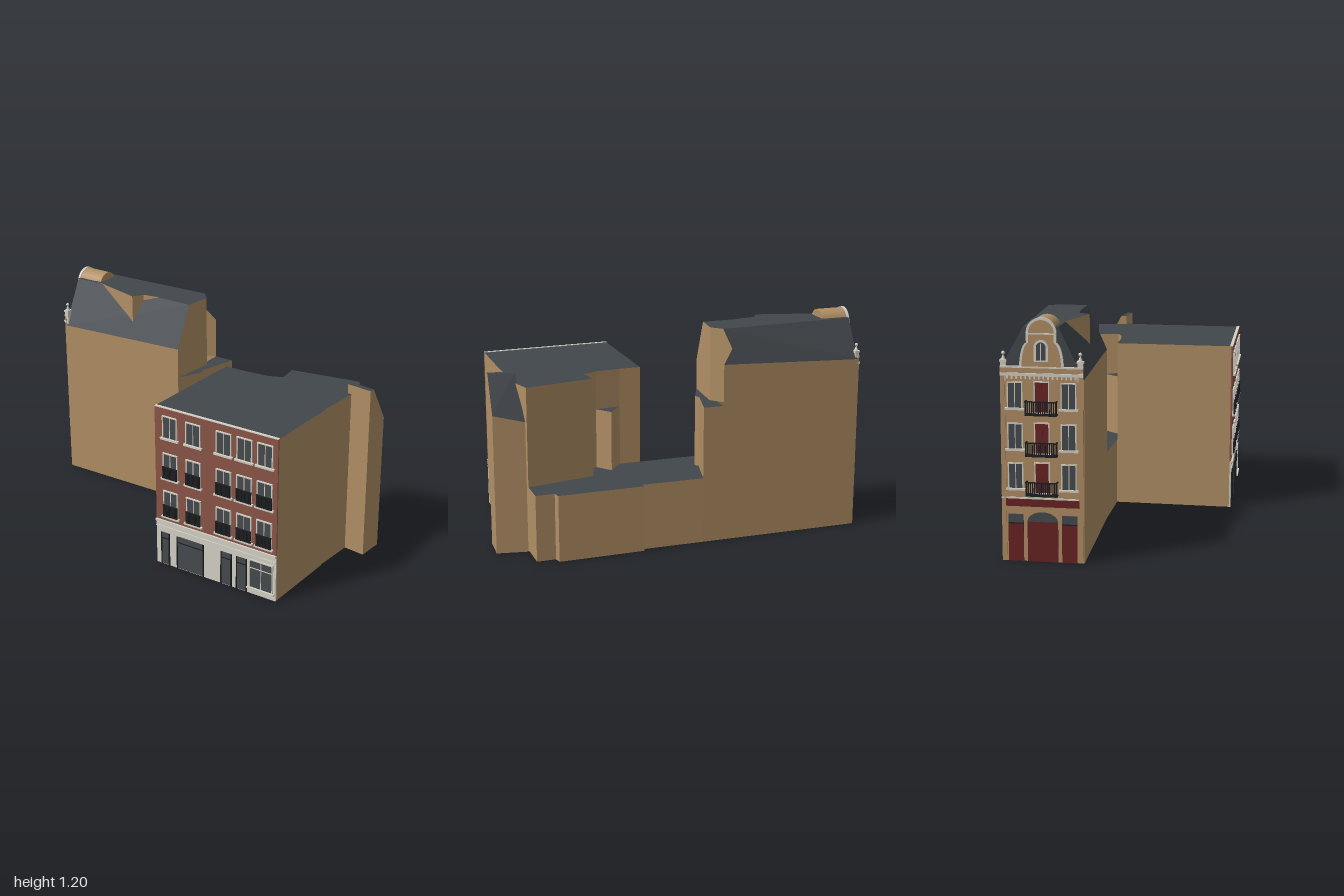
import * as THREE from 'three';

const mat = (name, color, side = THREE.FrontSide) => {
  const m = new THREE.MeshStandardMaterial({ color, side });
  m.name = name;
  return m;
};

export function createModel() {
  const wall = mat('tan wall', 0xb18f65, THREE.DoubleSide);
  const slate = mat('slate roof', 0x42474c, THREE.DoubleSide);
  const brick = mat('brick', 0x8a5546);
  const stone = mat('pale stone', 0xd5d2c6);
  const glass = mat('dark glass', 0x464b4f);
  const iron = mat('black iron', 0x1d1e20);
  const red = mat('dark red paint', 0x6a2323);
  const model = new THREE.Group();

  const add = (parent, geo, m, name, x = 0, y = 0, z = 0) => {
    const mesh = new THREE.Mesh(geo, m);
    mesh.name = name;
    mesh.position.set(x, y, z);
    parent.add(mesh);
    return mesh;
  };

  // Walls and roof between two counter-clockwise rings of [x, y, z], open below.
  // sides: 0 wall, 1 slate, -1 left open
  function solid(name, low, high, sides = [], roofed = true) {
    const mats = [wall, slate], pos = [[], []];
    const tri = (k, ...pts) => pts.forEach(p => pos[k].push(...p));
    low.forEach((a, i) => {
      const j = (i + 1) % low.length, k = sides[i] || 0;
      if (k < 0) return;
      tri(k, a, low[j], high[j]);
      tri(k, a, high[j], high[i]);
    });
    const outline = high.map(p => new THREE.Vector2(p[0], -p[2]));
    if (roofed)
      THREE.ShapeUtils.triangulateShape(outline, []).forEach(([a, b, c]) => tri(1, high[a], high[b], high[c]));
    pos.forEach((list, k) => {
      if (!list.length) return;
      const g = new THREE.BufferGeometry();
      g.setAttribute('position', new THREE.Float32BufferAttribute(list, 3));
      g.computeVertexNormals();
      add(model, g, mats[k], name + (k ? 'Roof' : 'Walls'));
    });
  }
  const at = (plan, y) => plan.map(([x, z], i) => [x, Array.isArray(y) ? y[i] : y, z]);
  const prism = (name, plan, y0, y1, sides, roofed) => solid(name, at(plan, y0), at(plan, y1), sides, roofed);

  // Front house: its stepped back stands on the low link
  const L = 0.362, M = 0.752;
  const back = [[0.03, 0.05], [0.115, 0.13], [0.225, 0.215], [0.3, 0.245], [0.365, 0.155], [0.683, 0.365]];
  prism('frontHouse', [[-0.405, 0.5], [0.135, 0.988], [0.43, 0.685], [0.44, 0.67], [0.6, 0.52], back[5],
    ...[...back].reverse(), back[0]], [0, 0, 0, 0, 0, 0, L, L, L, L, L, L, 0], 0.9, [-1, 0, 0, 0, 0, -1, 0, 0, 0, 0, 0, -1, 0]);
  prism('stairNook', [[0.115, 0.13], [0.225, 0.215], [0.235, 0.115]], L, 0.69, [-1]);

  // Side lean-to, low link and stair block
  prism('leanToTop', [[0.587, 0.5], [0.678, 0.608], [0.7, 0.587], [0.608, 0.478]], 0, 0.95, [0, 0, -1, 0]);
  prism('leanTo', [[0.608, 0.478], [0.7, 0.587], [0.782, 0.51], [0.683, 0.375]], 0, [0.95, 0.95, 0.755, 0.715], [-1]);
  prism('lowLink', [[-0.205, -0.178], ...back, [0.783, 0.26], [0.708, 0.19], [0.73, 0.155], [0.39, -0.165],
    [0.375, -0.145], [0.13, -0.383], [0.05, -0.46]], 0, L, [0, -1, -1, -1, -1, -1, 0, 0, 0, 0, 0, 0, 0, -1]);
  prism('stairBlock', [[-0.205, -0.178], [-0.06, -0.24], [-0.05, -0.27], [0.13, -0.383], [0.05, -0.46]], L, M,
    [0, 0, 0, 0, -1]);

  // Rear house with a mansard whose courtyard end is a notched wall
  const A = [-0.785, -0.7], B = [-0.205, -0.178], C = [-0.02, -0.345], D = [-0.016, -0.475], E = [0.05, -0.46],
    G = [-0.507, -0.997];
  prism('rearHouse', [A, B, B, C, D, E, E, G], [0, 0, M, M, M, M, 0, 0],
    [0.9, 0.92, 0.92, 0.92, 1.05, 0.975, 0.975, 0.945], [0, -1, 0, 0, 0, -1, 0, 0], false);
  const eaves = at([A, B, C, D, G], [0.9, 0.92, 0.92, 1.05, 0.945]);
  const top = at([[-0.7, -0.788], [-0.13, -0.25], [-0.02, -0.345], [-0.018, -0.42], [-0.585, -0.91]], 1.15);
  solid('mansard', eaves, top, [1, 0, 0, -1, 1]);
  const slope = [top[3], eaves[3], [E[0], 0.975, E[1]], eaves[4], top[4]];
  solid('northSlope', slope, slope, [-1, -1, -1, -1, -1]);
  prism('roofBump', [[-0.61, -0.73], [-0.425, -0.43], [-0.36, -0.447], [-0.28, -0.392], [-0.36, -0.6]], 0.96, 1.152,
    [0, 0, 0, -1, -1]);

  // A facade group: x runs to the viewer's right, z points outwards
  function facade(name, [lx, lz], [rx, rz]) {
    const g = new THREE.Group();
    g.name = name;
    g.position.set((lx + rx) / 2, 0, (lz + rz) / 2);
    g.rotation.y = Math.atan2(lz - rz, rx - lx);
    model.add(g);
    return g;
  }
  // Box resting on height y, starting at depth z
  const box = (p, m, name, x, y, w, h, d, z = 0) =>
    add(p, new THREE.BoxGeometry(w, h, d), m, name, x, y + h / 2, z + d / 2);

  // Panes pass through the wall so they also show from inside
  function windowUnit(p, x, y, w, h, pane = glass, bar = stone) {
    const t = 0.006, z = 0.008;
    box(p, pane, 'pane', x, y, w, h, 0.012, -0.001);
    for (const s of [-1, 1]) box(p, stone, 'jamb', x + s * (w / 2), y, t, h, 0.007, z);
    box(p, bar, 'mullion', x, y, 0.004, h, 0.005, z);
    box(p, stone, 'lintel', x, y + h, w + t, t, 0.008, z);
    box(p, stone, 'sill', x, y - 0.01, w + 0.025, 0.01, 0.014, z);
  }
  function railing(p, x, y, w, h, depth, n) {
    const front = 0.008 + depth;
    box(p, iron, 'balconyFloor', x, y, w, 0.008, depth, 0.008);
    box(p, iron, 'handrail', x, y + h, w, 0.006, 0.006, front - 0.006);
    for (let i = 0; i <= n; i++)
      box(p, iron, 'baluster', x - w / 2 + 0.004 + (w - 0.008) * i / n, y, 0.0055, h, 0.004, front - 0.005);
    for (const s of [-1, 1]) {
      box(p, iron, 'sideRail', x + s * (w / 2 - 0.003), y + h, 0.006, 0.006, depth, 0.008);
      box(p, iron, 'sideBar', x + s * (w / 2 - 0.003), y, 0.005, h, 0.005, 0.008 + depth / 2);
    }
  }

  // Brick street front
  const F = facade('streetFront', [-0.405, 0.5], [0.135, 0.988]);
  const W = 0.728, k = 1.348;
  const u = x => (x + 0.1445) * k;
  box(F, brick, 'brickFace', 0, 0.25, W, 0.65, 0.008);
  box(F, stone, 'shopFront', 0, 0, W, 0.25, 0.009);
  box(F, stone, 'shopCornice', 0, 0.22, W, 0.006, 0.014);
  box(F, stone, 'stringCourse', 0, 0.25, W, 0.012, 0.018);
  box(F, stone, 'coping', 0, 0.899, W, 0.004, 0.016, -0.007);
  for (const x of [-0.345, -0.24, -0.105, -0.015, 0.073]) {
    windowUnit(F, u(x), 0.74, 0.062 * k, 0.115);
    for (const [y, h] of [[0.513, 0.135], [0.293, 0.14]]) {
      windowUnit(F, u(x), y, 0.062 * k, h);
      railing(F, u(x), y, 0.066 * k, 0.06, 0.014, 12);
    }
  }
  for (const [a, b] of [[-0.39, -0.355], [-0.317, -0.197], [-0.115, -0.07], [-0.045, -0.002]]) {
    const x = u((a + b) / 2), w = (b - a) * k;
    box(F, glass, 'shopOpening', x, 0.004, w, 0.186, 0.013, -0.001);
    box(F, iron, 'transom', x, 0.155, w, 0.005, 0.006, 0.009);
    for (const s of [-1, 1]) box(F, iron, 'doorFrame', x + s * w / 2, 0, 0.006, 0.19, 0.006, 0.009);
  }
  windowUnit(F, u(0.062), 0.04, 0.1 * k, 0.155);
  box(F, stone, 'windowRail', u(0.062), 0.15, 0.1 * k, 0.004, 0.005, 0.009);

  // Narrow front of the rear house
  const R = facade('narrowFront', G, A);
  const RW = 0.402;
  box(R, wall, 'face', 0, 0, RW, 0.92, 0.008);
  for (const s of [-1, 1]) {
    const x = s * 0.132;
    box(R, red, 'sideDoor', x, 0, 0.075, 0.19, 0.013, -0.001);
    box(R, glass, 'doorLight', x, 0.19, 0.075, 0.045, 0.013, -0.001);
    box(R, iron, 'doorRail', x, 0.188, 0.075, 0.005, 0.006, 0.008);
    box(R, wall, 'cornerPier', s * 0.189, 0, 0.022, 0.92, 0.012);
    // Corner pinnacles
    box(R, stone, 'pinnacleBase', s * 0.186, 0.89, 0.026, 0.09, 0.022, -0.012);
    box(R, stone, 'pinnacleCap', s * 0.186, 0.98, 0.034, 0.01, 0.028, -0.015);
    add(R, new THREE.ConeGeometry(0.013, 0.03, 8), stone, 'pinnacleTip', s * 0.186, 1.003, -0.001);
    add(R, new THREE.SphereGeometry(0.009, 10, 8), stone, 'pinnacleBall', s * 0.186, 1.022, -0.001);
  }
  box(R, red, 'carriageDoor', 0, 0, 0.15, 0.2, 0.013, -0.001);
  const fan = add(R, new THREE.CircleGeometry(0.075, 20, 0, Math.PI), glass, 'fanlight', 0, 0.2, 0.012);
  fan.scale.y = 0.65;
  box(R, red, 'fascia', 0, 0.275, 0.36, 0.036, 0.006, 0.008);
  box(R, stone, 'fasciaCornice', 0, 0.312, RW, 0.008, 0.012);
  for (const y of [0.345, 0.54, 0.74]) {
    for (const s of [-1, 1]) windowUnit(R, s * 0.13, y + 0.02, 0.07, 0.12);
    windowUnit(R, 0, y, 0.07, 0.145, red, red);
    railing(R, 0, y - 0.012, 0.155, 0.065, 0.035, 14);
  }
  box(R, stone, 'mainCornice', 0, 0.915, RW, 0.014, 0.018);
  box(R, wall, 'parapet', 0, 0.929, RW, 0.024, 0.01);
  box(R, stone, 'parapetCoping', 0, 0.953, RW, 0.008, 0.014);
  for (let i = 0; i < 16; i++) box(R, stone, 'bracket', -0.165 + i * 0.022, 0.9, 0.008, 0.015, 0.015);

  // Shouldered gable with a round head, and the barrel roof behind it
  const outline = (r, y0) => {
    const s = new THREE.Shape();
    s.moveTo(-r - 0.035, y0);
    s.lineTo(r + 0.035, y0);
    s.quadraticCurveTo(r + 0.03, 1.06, r, 1.075);
    s.absarc(0, 1.122, r, 0, Math.PI, false);
    s.lineTo(-r, 1.075);
    s.quadraticCurveTo(-r - 0.03, 1.06, -r - 0.035, y0);
    return s;
  };
  const plate = (s, depth) => new THREE.ExtrudeGeometry(s, { depth, bevelEnabled: false, curveSegments: 12 });
  add(R, plate(outline(0.073, 0.95), 0.014), stone, 'gableTrim', 0, 0, -0.004);
  add(R, plate(outline(0.061, 0.952), 0.016), wall, 'gableFace', 0, 0, -0.003);
  const arch = (w, h) => {
    const s = new THREE.Shape();
    s.moveTo(-w, 0);
    s.lineTo(w, 0);
    s.absarc(0, h, w, 0, Math.PI, false);
    s.lineTo(-w, 0);
    return s;
  };
  add(R, plate(arch(0.034, 0.07), 0.006), stone, 'gableWindowSurround', 0, 0.985, 0.012);
  add(R, plate(arch(0.023, 0.062), 0.003), glass, 'gableWindow', 0, 0.993, 0.017);
  box(R, stone, 'gableWindowBar', 0, 0.993, 0.004, 0.08, 0.004, 0.018);
  box(R, stone, 'gableBand', 0, 1.115, 0.14, 0.007, 0.005, 0.012);
  const barrel = new THREE.CylinderGeometry(0.069, 0.069, 0.15, 24, 1, false, Math.PI / 2, Math.PI);
  barrel.rotateX(Math.PI / 2);
  add(R, barrel, wall, 'barrelRoof', 0, 1.122, -0.075);
  box(R, wall, 'dormerCheeks', 0, 0.96, 0.138, 0.162, 0.15, -0.15);
  return model;
}
